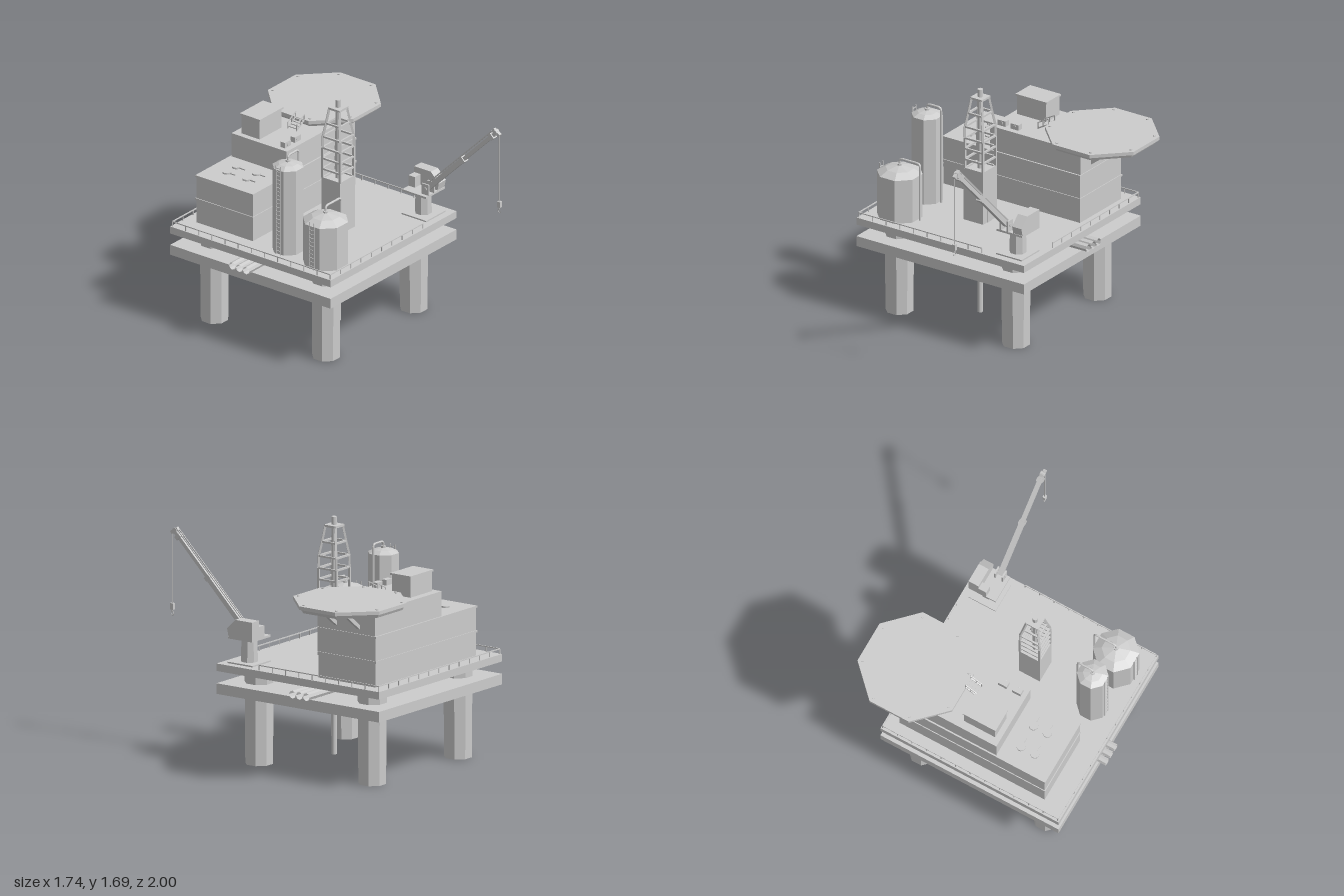
import * as THREE from 'three';

const mat = new THREE.MeshStandardMaterial({ color: 0xcccccc, flatShading: true, side: THREE.DoubleSide });
const V = (x, y, z) => new THREE.Vector3(x, y, z);

export function createModel() {
  const root = new THREE.Group();
  const add = (name, geo, parent = root) => {
    const m = new THREE.Mesh(geo, mat);
    m.name = name;
    parent.add(m);
    return m;
  };
  const group = (name) => {
    const g = new THREE.Group();
    g.name = name;
    root.add(g);
    return g;
  };
  // Box given by its extents on each axis
  const box = (name, x0, x1, y0, y1, z0, z1, parent) => {
    const m = add(name, new THREE.BoxGeometry(x1 - x0, y1 - y0, z1 - z0), parent);
    m.position.set((x0 + x1) / 2, (y0 + y1) / 2, (z0 + z1) / 2);
    return m;
  };
  // Upright prism with flats facing the axes; radii are measured to the flats
  const prism = (name, x, z, y0, y1, r0, r1 = r0, n = 8, parent = root) => {
    const k = 1 / Math.cos(Math.PI / n);
    const g = new THREE.CylinderGeometry(r1 * k, r0 * k, y1 - y0, n).rotateY(Math.PI / n);
    const m = add(name, g, parent);
    m.position.set(x, (y0 + y1) / 2, z);
    return m;
  };
  // Square bar from a to b
  const bar = (name, a, b, w, parent, h = w) => {
    const m = add(name, new THREE.BoxGeometry(w, h, a.distanceTo(b)), parent);
    m.position.copy(a).lerp(b, 0.5);
    m.lookAt(b);
    return m;
  };
  // Round pipe through points, with rounded corners
  const pipe = (name, pts, r, bend, parent) => {
    const path = new THREE.CurvePath();
    let prev = pts[0];
    for (let i = 1; i < pts.length - 1; i++) {
      const p = pts[i];
      const a = p.clone().add(pts[i - 1].clone().sub(p).setLength(bend));
      const b = p.clone().add(pts[i + 1].clone().sub(p).setLength(bend));
      path.add(new THREE.LineCurve3(prev, a));
      path.add(new THREE.QuadraticBezierCurve3(a, p, b));
      prev = b;
    }
    path.add(new THREE.LineCurve3(prev, pts[pts.length - 1]));
    add(name, new THREE.TubeGeometry(path, 60, r, 8, false), parent);
  };

  // Decks and legs
  box('lowerDeck', -0.815, 0.59, 0.5, 0.575, -0.95, 0.45);
  box('upperDeck', -0.815, 0.59, 0.662, 0.715, -0.95, 0.45);
  for (const x of [-0.6, 0.378]) for (const z of [0.242, -0.732]) prism('leg', x, z, 0, 0.67, 0.091, 0.096);

  // Railings round the deck edge
  const rails = group('railings');
  const railing = (a, b) => {
    const n = Math.round(a.distanceTo(b) / 0.115);
    const up = V(0, 0.037, 0);
    bar('rail', a.clone().add(up), b.clone().add(up), 0.007, rails);
    for (let i = 0; i <= n; i++) {
      const p = a.clone().lerp(b, i / n);
      bar('railPost', p, p.clone().add(up), 0.006, rails);
    }
  };
  railing(V(-0.803, 0.715, 0.438), V(0.23, 0.715, 0.438));
  railing(V(-0.803, 0.715, 0.438), V(-0.803, 0.715, -0.938));
  railing(V(-0.803, 0.715, -0.938), V(0.578, 0.715, -0.938));
  railing(V(0.578, 0.715, -0.938), V(0.578, 0.715, 0.09));

  // Export pipes between the decks
  for (const z of [-0.365, -0.305, -0.245]) {
    pipe('exportPipe', [V(-0.87, 0.606, z), V(-0.35, 0.606, z), V(-0.26, 0.545, z)], 0.028, 0.05);
    pipe('exportPipe', [V(0.645, 0.606, z), V(0.13, 0.606, z), V(0.04, 0.545, z)], 0.028, 0.05);
  }

  // Accommodation block with ledges
  box('lowerBlock', -0.65, 0.495, 0.715, 1.07, -0.85, -0.358);
  box('upperBlock', -0.265, 0.495, 1.07, 1.25, -0.845, -0.363);
  box('ledge', -0.656, 0.501, 0.885, 0.9, -0.856, -0.352);
  box('ledge', -0.656, 0.501, 1.06, 1.074, -0.856, -0.352);
  box('penthouse', -0.225, 0.02, 1.25, 1.39, -0.79, -0.63);
  box('penthouseRoof', -0.232, 0.028, 1.39, 1.403, -0.798, -0.622);
  for (const x of [-0.197, -0.087]) {
    box('coolingUnit', x - 0.033, x + 0.033, 1.25, 1.29, -0.445, -0.405);
    const fan = add('coolingFan', new THREE.CylinderGeometry(0.014, 0.014, 0.006, 10).rotateX(Math.PI / 2));
    fan.position.set(x, 1.27, -0.404);
  }
  for (const x of [-0.492, -0.384]) for (const z of [-0.708, -0.533]) {
    prism('roofVent', x, z, 1.07, 1.086, 0.031, 0.031, 10);
    box('ventHandle', x - 0.004, x + 0.004, 1.072, 1.082, z + 0.03, z + 0.075);
  }

  // Helicopter deck, lights, struts and steps
  const hx = 0.493, hz = -0.627;
  prism('helideckTop', hx, hz, 1.281, 1.306, 0.373);
  prism('helideckRim', hx, hz, 1.254, 1.281, 0.345, 0.358);
  for (let i = 0; i < 8; i++) {
    const a = Math.PI / 8 + i * Math.PI / 4;
    prism('deckLight', hx + Math.cos(a) * 0.368, hz + Math.sin(a) * 0.368, 1.306, 1.313, 0.009);
  }
  for (const z of [-0.505, -0.7]) bar('helideckStrut', V(0.485, 1.115, z), V(0.68, 1.265, z), 0.026, root);
  const steps = group('helideckSteps');
  for (const z of [-0.512, -0.588]) {
    bar('stringer', V(0.035, 1.255, z), V(0.125, 1.305, z), 0.008, steps);
    bar('handrail', V(0.035, 1.297, z), V(0.125, 1.345, z), 0.006, steps);
    for (const t of [0, 0.5, 1]) {
      const x = 0.037 + t * 0.085, y = 1.25 + t * 0.05;
      bar('handrailPost', V(x, y, z), V(x, y + 0.046, z), 0.006, steps);
    }
  }
  for (let i = 0; i < 4; i++) box('tread', 0.04 + i * 0.023, 0.055 + i * 0.023, 1.26 + i * 0.012, 1.266 + i * 0.012, -0.588, -0.512, steps);

  // Drilling derrick
  const dx = -0.114, dz = -0.032;
  const derrick = group('derrick');
  box('derrickBase', dx - 0.082, dx + 0.082, 0.715, 1.097, dz - 0.082, dz + 0.082, derrick);
  box('derrickDoor', dx + 0.08, dx + 0.086, 0.715, 0.835, -0.052, -0.002, derrick);
  prism('drillPipe', dx, dz, 0.01, 1.69, 0.018, 0.018, 8, derrick);
  const levels = [[1.1, 0.076], [1.17, 0.076], [1.25, 0.076], [1.33, 0.076], [1.415, 0.075], [1.515, 0.059], [1.625, 0.043]];
  const corners = [[1, 1], [1, -1], [-1, -1], [-1, 1]];
  const at = ([y, h], [cx, cz]) => V(dx + cx * h, y, dz + cz * h);
  levels.forEach((lv, i) => corners.forEach((c, j) => {
    bar('crossbar', at(lv, c), at(lv, corners[(j + 1) % 4]), 0.013, derrick);
    if (i) bar('derrickPost', at(levels[i - 1], c), at(lv, c), 0.015, derrick);
  }));
  box('crownPlate', dx - 0.05, dx + 0.05, 1.62, 1.634, dz - 0.05, dz + 0.05, derrick);

  // Storage tanks with domes, outlet pipes and ladders
  const tank = (z, r, yWall, yTop, yPipe, xPipe) => {
    const g = group('storageTank');
    const x = -0.6, yMid = yWall + (yTop - yWall) * 0.65;
    prism('tankWall', x, z, 0.715, yWall, r, r, 8, g);
    prism('tankDomeLower', x, z, yWall, yMid, r, r * 0.62, 8, g);
    prism('tankDomeUpper', x, z, yMid, yTop, r * 0.62, r * 0.12, 8, g);
    prism('pipeCollar', x, z, yTop - 0.01, yTop + 0.012, 0.016, 0.016, 8, g);
    pipe('outletPipe', [V(x, yTop - 0.01, z), V(x, yPipe, z), V(xPipe, yPipe, z), V(xPipe, 0.715, z)], 0.008, 0.025, g);
    const lx = x - r - 0.006;
    for (const s of [-0.02, 0.02]) bar('ladderSide', V(lx, 0.715, z + s), V(lx, yWall + 0.035, z + s), 0.006, g);
    for (let y = 0.74; y < yWall + 0.03; y += 0.03) bar('ladderRung', V(lx, y, z - 0.02), V(lx, y, z + 0.02), 0.005, g);
  };
  tank(-0.09, 0.102, 1.352, 1.385, 1.43, -0.483);
  tank(0.238, 0.149, 1.038, 1.09, 1.14, -0.43);

  // Crane
  const crane = group('crane');
  box('cranePlinth', 0.32, 0.535, 0.715, 0.725, 0.182, 0.397, crane);
  prism('cranePedestal', 0.428, 0.288, 0.725, 0.895, 0.056, 0.052, 8, crane);
  box('slewPlatform', 0.322, 0.535, 0.89, 0.905, 0.185, 0.392, crane);
  const side = new THREE.Shape([[0.185, 0.893], [0.385, 0.893], [0.4, 0.96], [0.33, 1.03], [0.185, 1.03]].map((p) => new THREE.Vector2(-p[0], p[1])));
  const cab = add('craneCab', new THREE.ExtrudeGeometry(side, { depth: 0.078, bevelEnabled: false }).rotateY(Math.PI / 2), crane);
  cab.position.x = 0.457;
  box('winchHousing', 0.395, 0.457, 0.905, 0.985, 0.185, 0.24, crane);
  const bx = 0.384;
  for (const s of [-1, 1]) box('boomBracket', bx + s * 0.03 - 0.006, bx + s * 0.03 + 0.006, 0.905, 0.985, 0.335, 0.395, crane);
  const pin = add('boomPin', new THREE.CylinderGeometry(0.012, 0.012, 0.085, 8).rotateZ(Math.PI / 2), crane);
  pin.position.set(bx, 0.95, 0.37);
  const foot = V(bx, 0.945, 0.365), tip = V(bx, 1.535, 0.955);
  const along = (t) => foot.clone().lerp(tip, t);
  bar('boomLower', foot, along(0.52), 0.036, crane);
  bar('boomUpper', along(0.5), tip, 0.027, crane);
  for (const t of [0.52, 0.95]) bar('boomCollar', along(t - 0.018), along(t + 0.018), 0.045, crane);
  const lift = V(0, 0.02, -0.02);
  for (const s of [-0.01, 0.01]) bar('boomCable', along(0.02).add(lift).add(V(s, 0, 0)), along(0.99).add(lift).add(V(s, 0, 0)), 0.006, crane);
  bar('boomHead', V(bx, 1.56, 0.935), V(bx, 1.525, 0.99), 0.024, crane);
  const sheave = add('sheave', new THREE.CylinderGeometry(0.018, 0.018, 0.034, 10).rotateZ(Math.PI / 2), crane);
  sheave.position.set(bx, 1.545, 0.955);
  bar('hoistCable', V(bx, 1.53, 0.985), V(bx, 1.02, 0.985), 0.006, crane);
  box('hookBlock', bx - 0.011, bx + 0.011, 0.98, 1.025, 0.972, 0.998, crane);
  bar('hookShank', V(bx, 0.985, 0.985), V(bx, 0.962, 0.985), 0.007, crane);
  const hook = add('hook', new THREE.TorusGeometry(0.012, 0.0035, 6, 12, Math.PI * 1.4).rotateZ(-Math.PI * 0.9).rotateY(Math.PI / 2), crane);
  hook.position.set(bx, 0.952, 0.985);

  return root;
}
